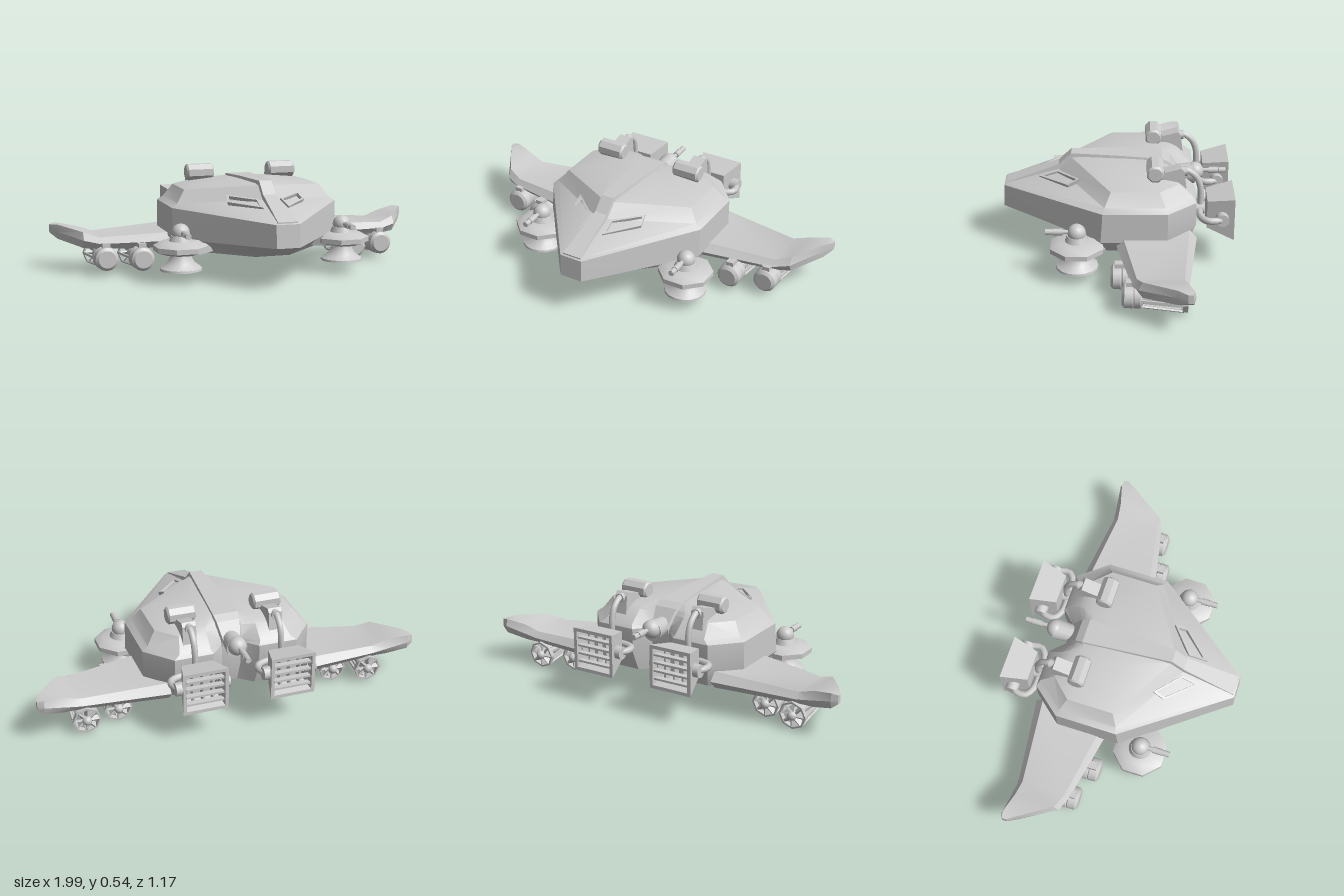
import * as THREE from 'three';
import { toCreasedNormals } from 'three/addons/utils/BufferGeometryUtils.js';

const mat = new THREE.MeshStandardMaterial({ color: 0xcccccc });
const thin = new THREE.MeshStandardMaterial({ color: 0xcccccc, side: THREE.DoubleSide });
const V = (p) => new THREE.Vector3(...p);

function add(parent, name, geo, pos = [0, 0, 0], rot = [0, 0, 0], material = mat) {
  const m = new THREE.Mesh(geo, material);
  m.name = name;
  m.position.set(...pos);
  m.rotation.set(...rot);
  parent.add(m);
  return m;
}

function group(parent, name, pos = [0, 0, 0]) {
  const g = new THREE.Group();
  g.name = name;
  g.position.set(...pos);
  parent.add(g);
  return g;
}

// Skin a list of closed rings, close both ends, and turn all faces outward
function loft(rings, capped = true, crease = 0.4) {
  const n = rings[0].length, pos = rings.flat(2), idx = [];
  const at = (i) => new THREE.Vector3().fromArray(pos, i * 3);
  for (let r = 0; r < rings.length - 1; r++)
    for (let i = 0; i < n; i++) {
      const a = r * n + i, b = r * n + (i + 1) % n;
      // the shorter diagonal keeps both halves symmetric
      if (at(a).distanceTo(at(b + n)) < at(b).distanceTo(at(a + n))) idx.push(a, b, b + n, a, b + n, a + n);
      else idx.push(a, b, a + n, b, b + n, a + n);
    }
  if (capped) [0, rings.length - 1].forEach((r) => {
    const c = pos.length / 3;
    for (let k = 0; k < 3; k++) pos.push(rings[r].reduce((s, p) => s + p[k], 0) / n);
    for (let i = 0; i < n; i++) {
      const a = r * n + i, b = r * n + (i + 1) % n;
      r ? idx.push(a, b, c) : idx.push(b, a, c);
    }
  });
  let vol = 0;
  for (let i = 0; i < idx.length; i += 3) vol += at(idx[i]).dot(at(idx[i + 1]).cross(at(idx[i + 2])));
  if (vol < 0) idx.reverse();
  const g = new THREE.BufferGeometry();
  g.setAttribute('position', new THREE.Float32BufferAttribute(pos, 3));
  g.setIndex(idx);
  return toCreasedNormals(g, crease);
}

const lathe = (pts, sides) =>
  toCreasedNormals(new THREE.LatheGeometry(pts.map((p) => new THREE.Vector2(...p)), sides), 0.6);
const tube = (pts, r) => new THREE.TubeGeometry(new THREE.CatmullRomCurve3(pts.map(V)), 20, r, 8);

// Hull half outlines: nose, side front, side rear, rear corner, rear inner, notch
const hull = [
  [[.09, .135, .35], [.40, .135, .05], [.40, .135, -.24], [.30, .135, -.36], [.11, .135, -.36], [.04, .135, -.3]],
  [[.06, .215, .585], [.44, .20, .08], [.44, .20, -.25], [.32, .24, -.395], [.12, .24, -.395], [.05, .24, -.32]],
  [[.06, .33, .58], [.44, .355, .07], [.44, .355, -.25], [.32, .36, -.395], [.12, .36, -.395], [.05, .36, -.32]],
  [[.055, .34, .56], [.41, .375, .06], [.41, .375, -.24], [.29, .38, -.38], [.13, .38, -.38], [.05, .38, -.31]],
  [[.035, .412, .30], [.365, .44, .03], [.365, .44, -.21], [.27, .44, -.31], [.13, .44, -.31], [.05, .43, -.27]],
  [[.03, .476, .235], [.30, .457, .01], [.30, .457, -.19], [.24, .455, -.28], [.12, .455, -.28], [.045, .45, -.25]],
  [[.025, .48, .22], [.12, .482, .0], [.12, .477, -.15], [.10, .472, -.22], [.07, .472, -.22], [.03, .468, -.21]],
];
const mirrorRing = (h) => [...h, ...h.map(([x, y, z]) => [-x, y, z]).reverse()];

function cockpitWindow(parent, s) {
  const [a, b] = hull[3].map(V), [c, d] = hull[4].map(V);
  const normal = b.clone().sub(a).cross(c.clone().sub(a)).normalize();
  if (normal.y < 0) normal.negate();
  const quad = (u0, u1, v0, v1, h) => [[u0, v0], [u1, v0], [u1, v1], [u0, v1]].map(([u, v]) => {
    const p = a.clone().lerp(b, u).lerp(c.clone().lerp(d, u), v).addScaledVector(normal, h);
    return [p.x * s, p.y, p.z];
  });
  const frame = loft([quad(.06, .46, .54, .94, -.01), quad(.06, .46, .54, .94, .008),
    quad(.09, .43, .6, .88, .008), quad(.09, .43, .6, .88, -.01)], false, 0.1);
  add(parent, 'windowFrame', frame, undefined, undefined, thin);
}

function gun(parent, z) {
  const along = [Math.PI / 2, 0, 0], d = Math.sign(z);
  add(parent, 'gunSleeve', new THREE.CylinderGeometry(.017, .017, .05, 10), [0, .005, z * .6], along);
  add(parent, 'gunBarrel', new THREE.CylinderGeometry(.011, .011, Math.abs(z), 10), [0, .005, z * .5], along);
  add(parent, 'gunMuzzle', new THREE.CylinderGeometry(.015, .015, .035, 10), [0, .005, z - d * .018], along);
}

// Side platform with a domed gun on top and a flared fan below
function sidePod(parent, s) {
  const g = group(parent, s > 0 ? 'leftGunPod' : 'rightGunPod', [s * .43, 0, .197]);
  const deck = lathe([[0, .145], [.09, .145], [.14, .162], [.14, .187], [.095, .21], [0, .21]], 8);
  add(g, 'platform', deck, undefined, [0, Math.PI / 8, 0]);
  // arm set square to the slanting hull edge
  add(g, 'platformArm', new THREE.BoxGeometry(.18, .05, .2), [-s * .08, .172, -.06], [0, -s * .65, 0]);
  add(g, 'domeBase', new THREE.CylinderGeometry(.048, .06, .03, 16), [0, .222, 0]);
  const turret = group(g, 'turret', [0, .25, 0]);
  add(turret, 'dome', new THREE.SphereGeometry(.046, 16, 12));
  gun(turret, .155);
  const bell = lathe([[.05, .15], [.054, .128], [.07, .1], [.105, .074], [.107, .063], [.097, .063], [.06, .1]], 16);
  add(g, 'fanBell', bell, undefined, undefined, thin);
  add(g, 'fanHub', new THREE.CylinderGeometry(.025, .025, .04, 12), [0, .088, 0]);
  add(g, 'fanBack', new THREE.CylinderGeometry(.06, .06, .01, 16), [0, .1, 0]);
  for (let i = 0; i < 8; i++) {
    const blade = add(g, 'fanBlade', new THREE.BoxGeometry(.08, .014, .008), undefined, [0, i * Math.PI / 4, 0]);
    blade.position.set(0, .073, 0).add(V([.055, 0, 0]).applyEuler(blade.rotation));
  }
}

function wing(parent, s) {
  // span position, leading z, trailing z, bottom y, top y
  const stations = [[.34, .02, -.40, .135, .22], [.78, -.07, -.345, .135, .195], [.86, -.1, -.352, .14, .222],
    [.965, -.27, -.365, .167, .242], [.997, -.325, -.352, .192, .236]];
  const rings = stations.map(([x, l, t, b, u]) => {
    const m = (b + u) / 2, c = (l - t) * .09;
    return [[l, m], [l - c, u], [t + c, u], [t, m], [t + c, b], [l - c, b]].map(([z, y]) => [s * x, y, z]);
  });
  add(parent, s > 0 ? 'leftWing' : 'rightWing', loft(rings));
}

// Under-wing engine: round nacelle, tapered core, and a bladed ring carried on long bars
function engine(parent, x, z) {
  const g = group(parent, 'wingEngine', [x, .09, z]);
  const nacelle = lathe([[0, 0], [.045, 0], [.06, .012], [.062, .05], [.058, .055], [.062, .06],
    [.062, .088], [.05, .1], [0, .1]], 16);
  add(g, 'nacelle', nacelle, undefined, [-Math.PI / 2, 0, 0]);
  add(g, 'pylon', new THREE.BoxGeometry(.04, .05, .07), [0, .055, -.055]);
  const tail = group(g, 'exhaust', [0, 0, -.09]);
  tail.rotation.x = -.07;
  add(tail, 'core', new THREE.CylinderGeometry(.04, .022, .23, 12), [0, 0, -.11], [Math.PI / 2, 0, 0]);
  add(tail, 'tailBall', new THREE.SphereGeometry(.024, 12, 10), [0, 0, -.225]);
  const ring = lathe([[.062, .2], [.07, .2], [.072, .225], [.063, .225], [.062, .2]], 8);
  add(tail, 'tailRing', ring, undefined, [-Math.PI / 2, 0, 0], thin);
  for (let i = 0; i < 8; i++) {
    const spoke = group(tail, 'spoke');
    spoke.rotation.z = i * Math.PI / 4;
    add(spoke, 'bar', new THREE.BoxGeometry(.012, .009, .22), [0, .06, -.11], [.055, 0, 0]);
    add(spoke, 'blade', new THREE.BoxGeometry(.009, .05, .025), [0, .042, -.212], [0, .5, 0]);
  }
}

// Rear swivelling nozzle, held by an overhead arm and a yoke
function rearThruster(parent, s) {
  const g = group(parent, s > 0 ? 'leftThruster' : 'rightThruster', [s * .225, 0, 0]);
  const drum = lathe([[0, -.073], [.036, -.073], [.045, -.064], [.045, .064], [.036, .073], [0, .073]], 8);
  add(g, 'roofDrum', drum, [0, .5, -.19], [Math.PI / 8, 0, Math.PI / 2]);
  const bracket = new THREE.Shape([[.21, .46], [.235, .495], [.32, .518], [.335, .50], [.35, .38], [.27, .38]]
    .map((p) => new THREE.Vector2(...p)));
  const bracketGeo = new THREE.ExtrudeGeometry(bracket, { depth: .07, bevelEnabled: false });
  add(g, 'armBracket', bracketGeo, [-.035, 0, 0], [0, Math.PI / 2, 0]);
  add(g, 'armTube', tube([[0, .49, -.31], [0, .495, -.345], [0, .46, -.395], [0, .40, -.418], [0, .29, -.42]], .016));
  add(g, 'armCollar', new THREE.CylinderGeometry(.024, .024, .03, 12), [0, .49, -.335], [Math.PI / 2, 0, 0]);
  add(g, 'lowerStrut', new THREE.CylinderGeometry(.03, .03, .08, 12), [0, .285, -.4], [Math.PI / 2, 0, 0]);
  add(g, 'yoke', tube([[-.11, .28, -.53], [-.133, .28, -.5], [-.135, .28, -.45], [-.09, .28, -.42], [0, .28, -.415],
    [.09, .28, -.42], [.135, .28, -.45], [.133, .28, -.5], [.11, .28, -.53]], .018));
  for (const e of [-1, 1])
    add(g, 'pivot', new THREE.CylinderGeometry(.033, .033, .05, 14), [e * .112, .28, -.525], [0, 0, Math.PI / 2]);
  // open box flaring to the rear
  const rect = (w, b, t, z) => [[-w, b, z], [w, b, z], [w, t, z], [-w, t, z]];
  const box = loft([rect(.002, .288, .29, -.45), rect(.08, .215, .36, -.45), rect(.115, .163, .385, -.585),
    rect(.098, .18, .368, -.585), rect(.078, .215, .34, -.49), rect(.002, .28, .282, -.49)], true, 0.1);
  add(g, 'nozzleBox', box, undefined, undefined, thin);
  for (let i = 0; i < 4; i++)
    add(g, 'nozzleSlat', new THREE.BoxGeometry(.19, .01, .03), [0, .212 + i * .041, -.565]);
  for (const x of [-.05, 0, .05])
    add(g, 'nozzleVane', new THREE.BoxGeometry(.01, .16, .04), [x, .275, -.53]);
}

export function createModel() {
  const root = new THREE.Group();
  root.name = 'gunship';
  add(root, 'hull', loft(hull.map(mirrorRing), true, 0.45));

  // Raised spine: z, half width, top y
  const spine = [[.572, .05, .341], [.3, .033, .436], [.235, .033, .498], [.0, .05, .493],
    [-.23, .065, .482], [-.27, .06, .46], [-.325, .045, .385]];
  add(root, 'spine', loft(spine.map(([z, w, y]) =>
    [[-w * 1.15, y - .04, z], [-w, y, z], [w, y, z], [w * 1.15, y - .04, z]]), true, 0.3));

  for (const s of [1, -1]) {
    cockpitWindow(root, s);
    wing(root, s);
    sidePod(root, s);
    engine(root, s * .58, .03);
    engine(root, s * .755, -.025);
    rearThruster(root, s);
  }

  // Tail gun on a short stalk in the rear notch
  const tail = group(root, 'tailTurret', [0, .385, -.40]);
  add(tail, 'dome', new THREE.SphereGeometry(.047, 16, 12));
  add(tail, 'stalk', new THREE.CylinderGeometry(.045, .055, .1, 12), [0, -.01, .05], [Math.PI / 2, 0, 0]);
  gun(tail, -.16);
  return root;
}
